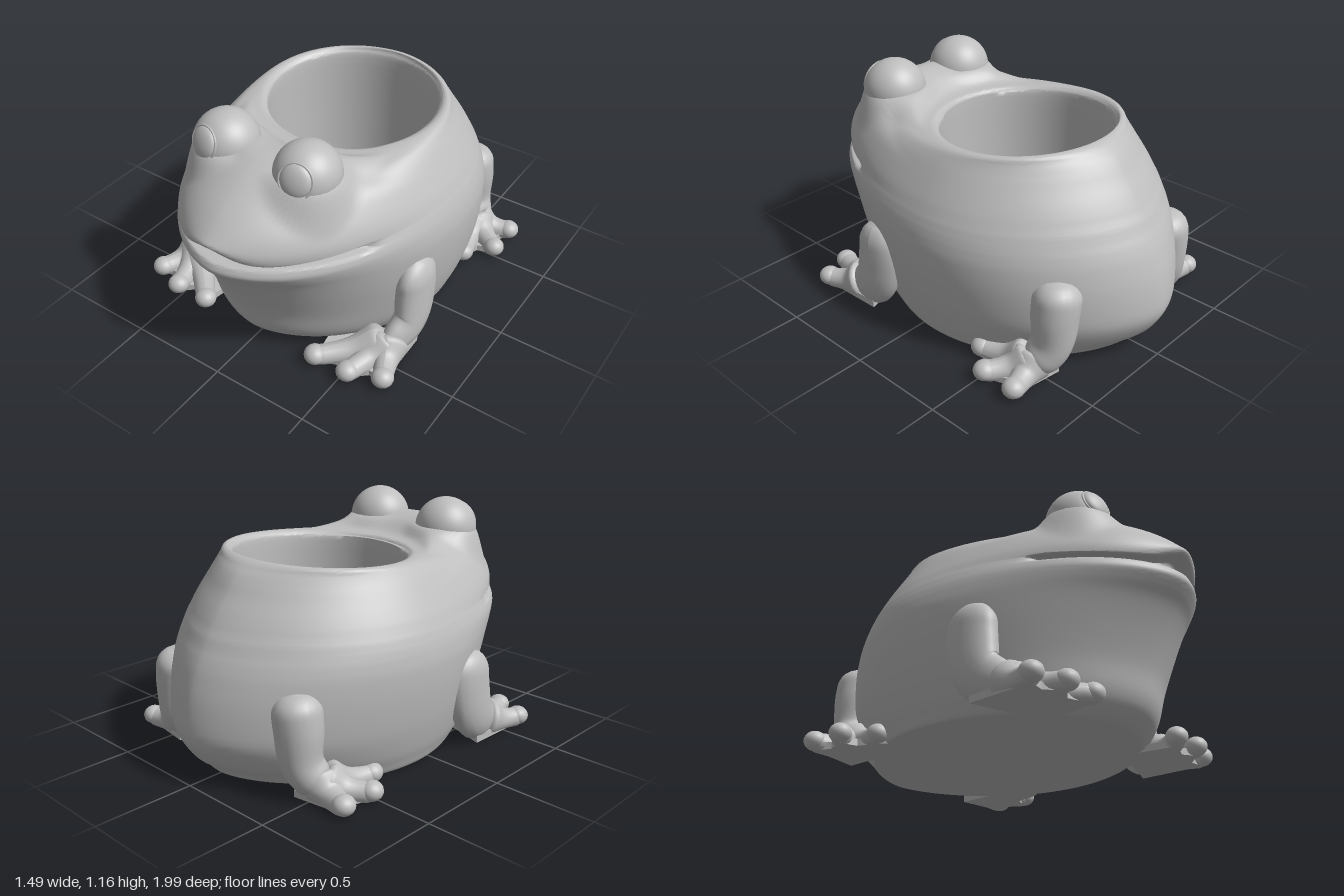
import * as THREE from 'three';
import { toCreasedNormals } from 'three/addons/utils/BufferGeometryUtils.js';

const { lerp, clamp, smoothstep } = THREE.MathUtils;
const clay = new THREE.MeshStandardMaterial({ color: 0xbebebe });
clay.name = 'grey clay';

// Smooth interpolation without overshoot through a list of rows
function sampleRow(rows, f) {
  const n = rows.length - 1, i = Math.min(Math.floor(f), n - 1), t = f - i;
  const slope = (k, c) => {
    if (k <= 0 || k >= n) return 0;
    const a = rows[k][c] - rows[k - 1][c], b = rows[k + 1][c] - rows[k][c];
    if (a * b <= 0) return 0;
    return Math.sign(a) * Math.min(Math.abs(a + b) / 2, 3 * Math.abs(a), 3 * Math.abs(b));
  };
  return rows[i].map((p, c) => {
    const q = rows[i + 1][c], t2 = t * t, t3 = t2 * t;
    return p * (2 * t3 - 3 * t2 + 1) + q * (3 * t2 - 2 * t3)
      + slope(i, c) * (t3 - 2 * t2 + t) + slope(i + 1, c) * (t3 - t2);
  });
}

// Belly, from the base to the chin: height, back z, front z, half width
const belly = [
  [0, -0.1, -0.1, 0], [0, -0.78, 0.58, 0.56], [0, -0.81, 0.61, 0.59], [0.05, -0.865, 0.69, 0.615],
  [0.12, -0.94, 0.735, 0.64], [0.25, -0.998, 0.77, 0.672], [0.4, -0.98, 0.835, 0.694],
  [0.52, -0.945, 0.9, 0.7], [0.59, -0.915, 0.955, 0.693], [0.635, -0.89, 0.983, 0.683],
].map(([y, b, f, w]) => [y, y, b, f, w, 0, 0, 0]);

// Mouth, head and rim: height, front height, back z, front z, half width, lip lift, mouth inset
const head = [
  [0.66, 0.67, -0.877, 0.97, 0.675, 0, 0], [0.685, 0.677, -0.864, 0.965, 0.666, 0, 0.06],
  [0.705, 0.69, -0.851, 0.965, 0.657, 0.05, 0.06], [0.725, 0.699, -0.838, 0.985, 0.648, 0.068, 0],
  [0.755, 0.74, -0.82, 0.995, 0.634, 0.045, 0], [0.8, 0.81, -0.79, 0.965, 0.61, 0.01, 0],
  [0.86, 0.88, -0.745, 0.9, 0.577, 0, 0], [0.91, 0.95, -0.71, 0.8, 0.549, 0, 0],
  [0.945, 1.01, -0.68, 0.69, 0.528, 0, 0], [0.97, 1.045, -0.65, 0.58, 0.512, 0, 0],
  [0.985, 1.02, -0.63, 0.46, 0.5, 0, 0], [0.995, 0.962, -0.61, 0.37, 0.487, 0, 0],
  [1.0, 0.948, -0.59, 0.3, 0.468, 0, 0],
].map((r, i) => [...r, smoothstep(i, 7, 12)]);

// Round pot inside: height, radius
const pot = [[0.985, 0.438], [0.94, 0.425], [0.6, 0.42], [0.17, 0.41], [0.13, 0.39], [0.12, 0.34], [0.12, 0]]
  .map(([y, r]) => [y, Math.min(y, 0.935), -0.15 - r, -0.15 + r, r, 0, 0, 1]);

function bodyGeometry() {
  const rows = [...belly, ...head, ...pot], sub = 5, seg = 160;
  const rings = (rows.length - 1) * sub, pos = [], index = [];
  for (let i = 0; i <= rings; i++) {
    const [y0, yf, zb, zf, w, lift, inset, round] = sampleRow(rows, i / sub);
    const zc = w < 0.001 ? zb : lerp(-0.08, -0.15, round);
    for (let j = 0; j < seg; j++) {
      const a = (j / seg) * Math.PI * 2, c = Math.cos(a), s = Math.sin(a);
      const power = lerp(s > 0 ? 1.15 : 1.22, 1, round);
      let x = Math.sign(c) * Math.abs(c) ** power * w;
      let z = zc + s * (s > 0 ? zf - zc : zc - zb);
      // Sloping rim, and a crown that rises only at the front
      let y = y0 - 0.026 * y0 ** 8 * (1 + s);
      y = lerp(y, yf, smoothstep(s, lerp(0.1, 0.52, smoothstep(y0, 0.85, 0.97)), 1));
      // Mouth groove and raised middle of the upper lip
      const k = 1 - inset * smoothstep(z, 0.46, 0.56);
      if (s > 0) y += lift * Math.exp(-((x / 0.14) ** 2));
      x *= k;
      z = zc + (z - zc) * k;
      // Collars rising to the eyes
      if (i <= (belly.length + head.length - 1) * sub && y > 0.75) {
        const d = Math.hypot(Math.abs(x) - 0.228, z - 0.548);
        y = lerp(y, Math.max(y, 1.02), 1 - smoothstep(d, 0.13, 0.225));
      }
      pos.push(x, Math.max(0, y), z);
    }
  }
  for (let i = 0; i < rings; i++) for (let j = 0; j < seg; j++) {
    const a = i * seg + j, b = i * seg + (j + 1) % seg;
    index.push(a, a + seg, b, b, a + seg, b + seg);
  }
  const g = new THREE.BufferGeometry();
  g.setAttribute('position', new THREE.Float32BufferAttribute(pos, 3));
  g.setIndex(index);
  return toCreasedNormals(g, 0.9);
}

// Round-ended limb whose radius follows a list, flattened across x and at the ground
function limbGeometry(points, radii, flat = 1) {
  const curve = new THREE.CatmullRomCurve3(points.map((p) => new THREE.Vector3(...p)));
  const n = 32, m = 20, g = new THREE.TubeGeometry(curve, n, 1, m);
  const p = g.attributes.position, v = new THREE.Vector3(), rows = radii.map((r) => [r]);
  for (let i = 0; i <= n; i++) {
    const u = i / n, c = curve.getPointAt(u);
    const cap = 1 - clamp(Math.min(u, 1 - u) / 0.2, 0, 1);
    const r = sampleRow(rows, u * (rows.length - 1))[0] * Math.sqrt(Math.max(0, 1 - cap * cap));
    for (let j = 0; j <= m; j++) {
      const k = i * (m + 1) + j;
      v.fromBufferAttribute(p, k).sub(c).multiplyScalar(r);
      v.x *= flat;
      v.add(c);
      p.setXYZ(k, v.x, Math.max(0, v.y), v.z);
    }
  }
  g.computeVertexNormals();
  return g;
}

export function createModel() {
  const model = new THREE.Group();
  model.name = 'frogPlanter';
  const add = (parent, name, geometry) => {
    const mesh = new THREE.Mesh(geometry, clay);
    mesh.name = name;
    parent.add(mesh);
    return mesh;
  };
  add(model, 'body', bodyGeometry());

  // Webbed foot: toes fan out from the ankle
  const foot = (parent, s, ankle, toes, root) => {
    const at = ([x, z], y) => [s * x, y, z];
    for (const toe of toes) {
      const [mid, end] = [0.5, 1.12].map((f) => [0, 1].map((k) => lerp(ankle[k], toe[k], f)));
      add(parent, 'toe', limbGeometry([at(ankle, 0.08), at(mid, 0.045), at(end, 0.04)], [0.11, 0.06, 0.05]));
      const tip = add(parent, 'toeTip', new THREE.SphereGeometry(0.05, 20, 14));
      tip.position.set(...at(toe, 0.048));
      tip.scale.set(1.1, 0.96, 1.1);
    }
    const outline = [root[0]];
    toes.forEach((t, i) => {
      outline.push(t);
      const next = toes[i + 1];
      if (next) outline.push([0, 1].map((k) => lerp(ankle[k], (t[k] + next[k]) / 2, 0.82)));
    });
    outline.push(root[1]);
    const shape = new THREE.Shape(outline.map(([x, z]) => new THREE.Vector2(s * x, z)));
    const web = new THREE.ExtrudeGeometry(shape, { depth: 0.035, bevelEnabled: false });
    add(parent, 'web', web.rotateX(Math.PI / 2).translate(0, 0.035, 0));
  };

  for (const s of [1, -1]) {
    const side = s > 0 ? 'left' : 'right';
    const group = (name) => {
      const g = new THREE.Group();
      g.name = side + name;
      model.add(g);
      return g;
    };

    // Bulging eye with an eyeball set in a thin lid
    const eye = group('Eye');
    const bump = add(eye, 'eyeBump', new THREE.SphereGeometry(0.158, 40, 28));
    bump.position.set(s * 0.228, 0.998, 0.548);
    const look = new THREE.Vector3(s * 0.2, 0.32, 0.92).normalize();
    const turn = new THREE.Quaternion().setFromUnitVectors(new THREE.Vector3(0, 0, 1), look);
    const ball = add(eye, 'eyeball', new THREE.SphereGeometry(1, 32, 20));
    ball.scale.set(0.075, 0.078, 0.032);
    const lid = add(eye, 'eyelid', new THREE.TorusGeometry(0.08, 0.006, 10, 40));
    ball.position.copy(bump.position).addScaledVector(look, 0.134);
    lid.position.copy(bump.position).addScaledVector(look, 0.135);
    ball.quaternion.copy(turn);
    lid.quaternion.copy(turn);

    // Front leg
    const front = group('FrontLeg');
    add(front, 'arm', limbGeometry(
      [[s * 0.63, 0.495, 0.255], [s * 0.635, 0.3, 0.25], [s * 0.64, 0.14, 0.3], [s * 0.6, 0.05, 0.48]],
      [0.125, 0.135, 0.12, 0.09], 0.6));
    foot(front, s, [0.6, 0.42], [[0.69, 0.62], [0.53, 0.68], [0.345, 0.68]], [[0.68, 0.28], [0.3, 0.4]]);

    // Hind leg
    const hind = group('HindLeg');
    add(hind, 'thigh', limbGeometry(
      [[s * 0.405, 0.5, -0.71], [s * 0.43, 0.34, -0.715], [s * 0.45, 0.16, -0.71], [s * 0.53, 0.04, -0.65]],
      [0.118, 0.115, 0.1, 0.09]));
    foot(hind, s, [0.5, -0.65], [[0.69, -0.7], [0.69, -0.52], [0.57, -0.39]], [[0.42, -0.74], [0.42, -0.2]]);
  }
  return model;
}
